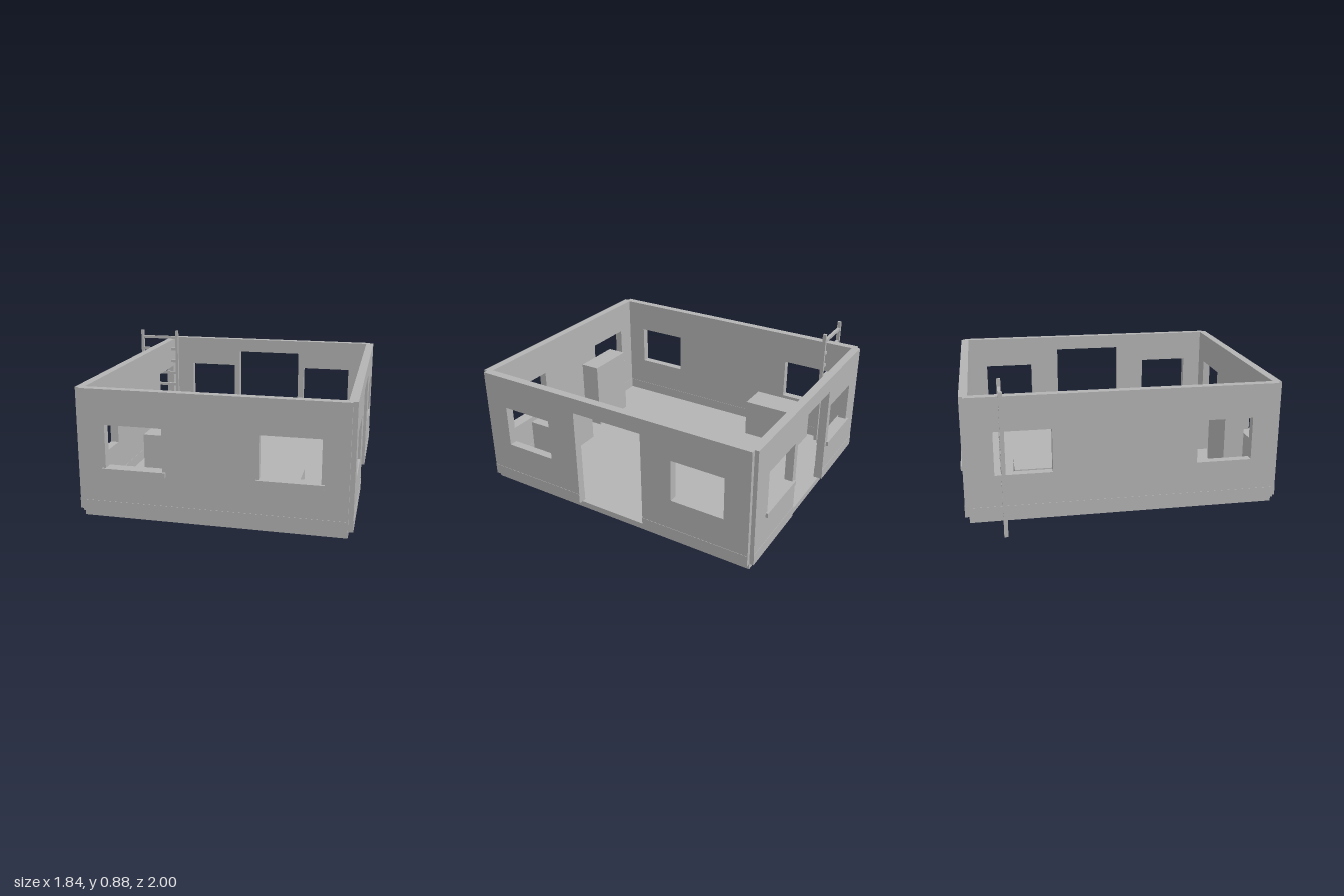
import * as THREE from 'three';

const material = new THREE.MeshStandardMaterial({ color: 0xb3b3b3 });
material.name = 'plain grey';

const BASE = 0.04, SKIRT = 0.11, TOP = 0.8, CX = 0.095;
const SILL = 0.31, HEAD = 0.585, DOOR_TOP = 0.7;

function add(parent, name, geometry) {
  const mesh = new THREE.Mesh(geometry, material);
  mesh.name = name;
  parent.add(mesh);
  return mesh;
}

// Box given by its limits on each axis
function box(parent, name, x0, x1, y0, y1, z0, z1) {
  const mesh = add(parent, name, new THREE.BoxGeometry(x1 - x0, y1 - y0, z1 - z0));
  mesh.position.set((x0 + x1) / 2, (y0 + y1) / 2, (z0 + z1) / 2);
  return mesh;
}

// Wall panel from u0 to u1 with window holes and an optional doorway
function wall(parent, name, u0, u1, windows, door) {
  const group = new THREE.Group();
  group.name = name;
  const pts = [[u0, SKIRT]];
  if (door) pts.push([door[0], SKIRT], [door[0], DOOR_TOP], [door[1], DOOR_TOP], [door[1], SKIRT]);
  pts.push([u1, SKIRT], [u1, TOP], [u0, TOP]);
  const shape = new THREE.Shape(pts.map(p => new THREE.Vector2(...p)));
  for (const [a, b] of windows) {
    const hole = [[a, SILL], [a, HEAD], [b, HEAD], [b, SILL]];
    shape.holes.push(new THREE.Path(hole.map(p => new THREE.Vector2(...p))));
  }
  const depth = 0.053;
  const geometry = new THREE.ExtrudeGeometry(shape, { depth, bevelEnabled: false });
  add(group, name + 'Panel', geometry.translate(0, 0, -depth / 2));

  // Slightly thicker skirting, broken at the doorway
  const runs = door ? [[u0, door[0]], [door[1], u1]] : [[u0, u1]];
  for (const [a, b] of runs) box(group, 'skirting', a, b, BASE, SKIRT, -0.0285, 0.0285);
  parent.add(group);
  return group;
}

export function createModel() {
  const model = new THREE.Group();
  model.name = 'cabin';

  // Floor slab
  box(model, 'floor', CX - 0.795, CX + 0.795, 0, BASE, -0.96, 0.96);

  // Front and back walls with projecting window sills
  const endWindows = [[-0.545, -0.195], [0.38, 0.735]];
  for (const s of [1, -1]) {
    const w = wall(model, s > 0 ? 'frontWall' : 'backWall', CX - 0.795, CX + 0.795,
      endWindows, s > 0 ? null : [-0.15, 0.335]);
    w.position.z = s * 0.9585;
    for (const [a, b] of endWindows) {
      box(model, 'windowSill', a - 0.02, b + 0.02, 0.29, 0.32, s > 0 ? 0.92 : -1, s > 0 ? 1 : -0.92);
    }
  }

  // Side walls, with a doorway on the left (+x) side
  const sideWindows = [[-0.8, -0.45], [0.45, 0.8]];
  for (const s of [1, -1]) {
    const w = wall(model, s > 0 ? 'leftWall' : 'rightWall', -0.96, 0.96,
      sideWindows, s > 0 ? [-0.243, 0.243] : null);
    w.rotation.y = -Math.PI / 2;
    w.position.x = CX + s * 0.7965;
  }

  // Furniture blocks
  box(model, 'lowCabinet', -0.645, -0.445, BASE, 0.305, -0.675, -0.26);
  box(model, 'tallCabinet', -0.335, 0.01, BASE, 0.515, 0.76, 0.895);
  box(model, 'frontCabinet', 0.19, 0.605, BASE, 0.305, 0.69, 0.895);

  // Ladder passing through the side wall
  const ladder = new THREE.Group();
  ladder.name = 'ladder';
  model.add(ladder);
  for (const x of [-0.923, -0.638]) box(ladder, 'ladderRail', x, x + 0.02, 0, 0.88, -0.762, -0.738);
  for (let i = 0; i < 9; i++) {
    const y = 0.06 + i * 0.0957;
    box(ladder, 'ladderRung', -0.905, -0.637, y - 0.01, y + 0.01, -0.76, -0.74);
  }
  return model;
}
